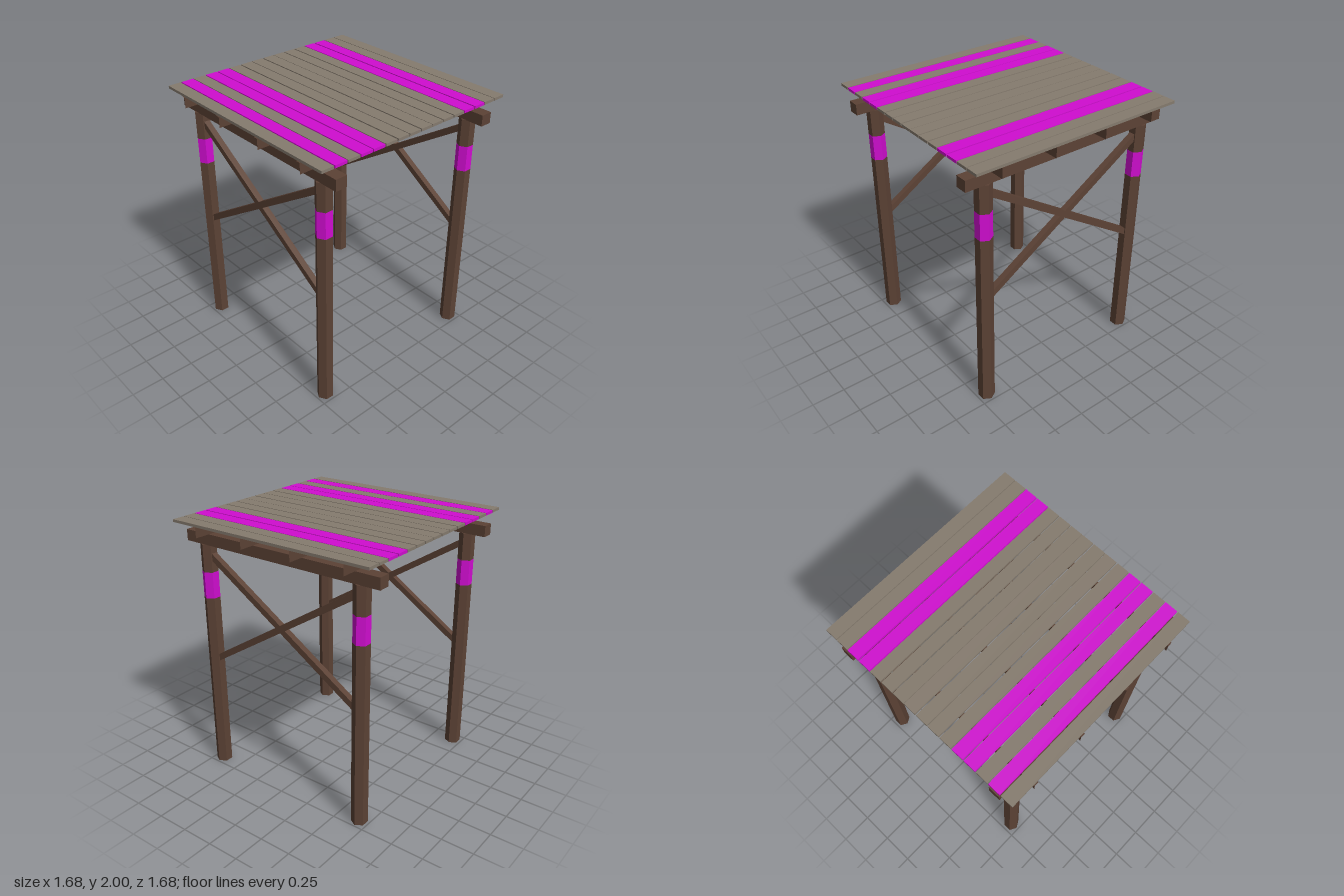
import * as THREE from 'three';

export function createModel() {
  const model = new THREE.Group();
  model.name = 'pergola';

  const material = (name, color) => {
    const m = new THREE.MeshStandardMaterial({ color });
    m.name = name;
    return m;
  };
  const brown = material('brown timber', 0x5c4235);
  const grey = material('weathered grey', 0x857b6e);
  const magenta = material('magenta paint', 0xd00dd0);

  const add = (parent, name, geometry, mat, x = 0, y = 0, z = 0) => {
    const mesh = new THREE.Mesh(geometry, mat);
    mesh.name = name;
    mesh.position.set(x, y, z);
    parent.add(mesh);
    return mesh;
  };

  const post = 0.676; // post centre distance in x and z

  // Six-sided, slightly tapered posts with a painted band
  const radiusAt = (y) => 0.0615 - 0.0008 * y;
  const section = (y0, y1) => {
    const g = new THREE.CylinderGeometry(radiusAt(y1), radiusAt(y0), y1 - y0, 6)
      .toNonIndexed();
    g.computeVertexNormals();
    return g.translate(0, (y0 + y1) / 2, 0);
  };
  for (const sx of [-1, 1]) {
    for (const sz of [-1, 1]) {
      const group = new THREE.Group();
      group.name = `${sz > 0 ? 'front' : 'back'}${sx > 0 ? 'Left' : 'Right'}Post`;
      group.position.set(sx * post, 0, sz * post);
      add(group, 'lowerPost', section(0, 1.41), brown);
      add(group, 'paintedBand', section(1.41, 1.61), magenta);
      add(group, 'upperPost', section(1.61, 1.82), brown);
      model.add(group);
    }
  }

  // Beams and crossed braces, front and back
  const rise = 0.43;
  for (const sz of [-1, 1]) {
    const side = sz > 0 ? 'front' : 'back';
    add(model, `${side}Beam`, new THREE.BoxGeometry(1.68, 0.083, 0.09), brown, 0, 1.86, sz * post);
    for (const s of [-1, 1]) {
      const brace = add(model, `${side}Brace`,
        new THREE.BoxGeometry(2 * Math.hypot(post, rise), 0.047, 0.045), brown, 0, 1.327, sz * post);
      brace.rotation.z = s * Math.atan2(rise, post);
    }
  }

  // Joists across the beams, open at both ends
  for (const x of [-0.635, -0.212, 0.212, 0.635]) {
    const g = new THREE.BoxGeometry(0.033, 0.079, 1.68);
    g.setIndex(Array.from(g.index.array).slice(0, 24));
    g.clearGroups();
    add(model, 'joist', g, brown, x, 1.941, 0);
  }

  // Roof planks, slightly uneven, some painted
  const starts = [-0.84, -0.737, -0.634, -0.526, -0.422, -0.315, -0.209, -0.108,
    0, 0.103, 0.211, 0.315, 0.42, 0.526, 0.629, 0.735];
  const painted = [2, 3, 11, 12, 14];
  starts.forEach((z, i) => {
    add(model, 'roofPlank', new THREE.BoxGeometry(1.68, 0.02, 0.097),
      painted.includes(i) ? magenta : grey, 0, 1.99, z + 0.0485);
  });

  return model;
}
